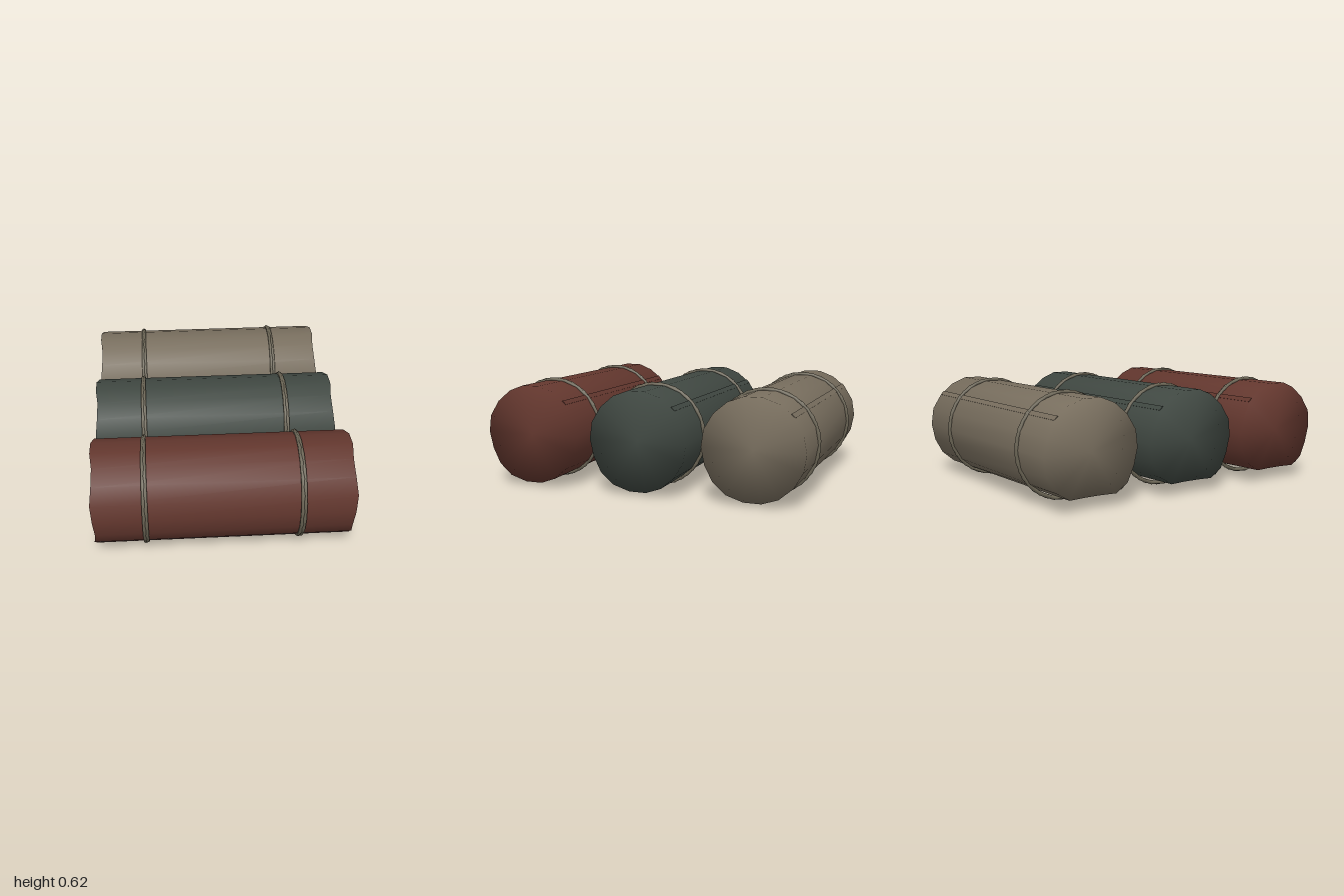
import * as THREE from 'three';

const R = 0.298, HALF = 0.73, CENTRE_Y = 0.318;

const paint = (name, color) => {
  const m = new THREE.MeshStandardMaterial({ color });
  m.name = name;
  return m;
};

// Rolled cloth: a soft-shaded lathe on the x axis, with uneven ends and a sagging underside
function rollGeometry() {
  const profile = [[0, -HALF], [R, -HALF], [R, HALF], [0, HALF]].map(([r, h]) => new THREE.Vector2(r, h));
  const g = new THREE.LatheGeometry(profile, 18);
  g.rotateZ(-Math.PI / 2);
  const p = g.attributes.position;
  for (let i = 0; i < p.count; i++) {
    const x = p.getX(i), y = p.getY(i), z = p.getZ(i);
    if (Math.hypot(y, z) < 0.1) continue;
    const a = Math.atan2(z, y);
    p.setX(i, x + Math.sign(x) * 0.008 * Math.cos(5 * a));
    // the underside is pressed flatter at the right-hand end
    if (x < 0) p.setY(i, Math.max(y, -0.24));
  }
  return g;
}

export function createModel() {
  const group = new THREE.Group();
  const cord = paint('cord', 0x6b6555);
  const cloths = [
    ['redRoll', paint('rust red cloth', 0x63372e), 0.685],
    ['greenRoll', paint('dark green cloth', 0x404842), 0],
    ['tanRoll', paint('tan cloth', 0x786e5e), -0.685],
  ];
  const roll = rollGeometry();
  const seam = new THREE.BoxGeometry(1.45, 0.008, 0.03);
  const loop = new THREE.TorusGeometry(0.302, 0.011, 6, 20);
  loop.rotateY(Math.PI / 2);

  for (const [name, cloth, z] of cloths) {
    const bundle = new THREE.Group();
    bundle.name = name;
    bundle.position.set(0, CENTRE_Y, z);
    const add = (part, geometry, material) => {
      const m = new THREE.Mesh(geometry, material);
      m.name = part;
      bundle.add(m);
      return m;
    };
    add('rolledCloth', roll, cloth);

    // Overlapping cloth edge along the upper back
    const edge = add('clothEdge', seam, cloth);
    edge.position.set(0, 0.2, -0.217);
    edge.rotation.x = -0.82;

    // Loose hem along the lower front
    const hem = add('clothHem', seam, cloth);
    hem.position.set(0, -0.215, 0.2);
    hem.rotation.x = 2.39;

    // Each tie is two slightly crossed turns of cord
    for (const x of [-0.44, 0.436]) {
      for (const s of [-1, 1]) {
        const turn = add('cordTie', loop, cord);
        turn.position.x = x + s * 0.004;
        turn.rotation.set(s * 0.08, s * 0.01, 0);
      }
    }
    group.add(bundle);
  }
  return group;
}
